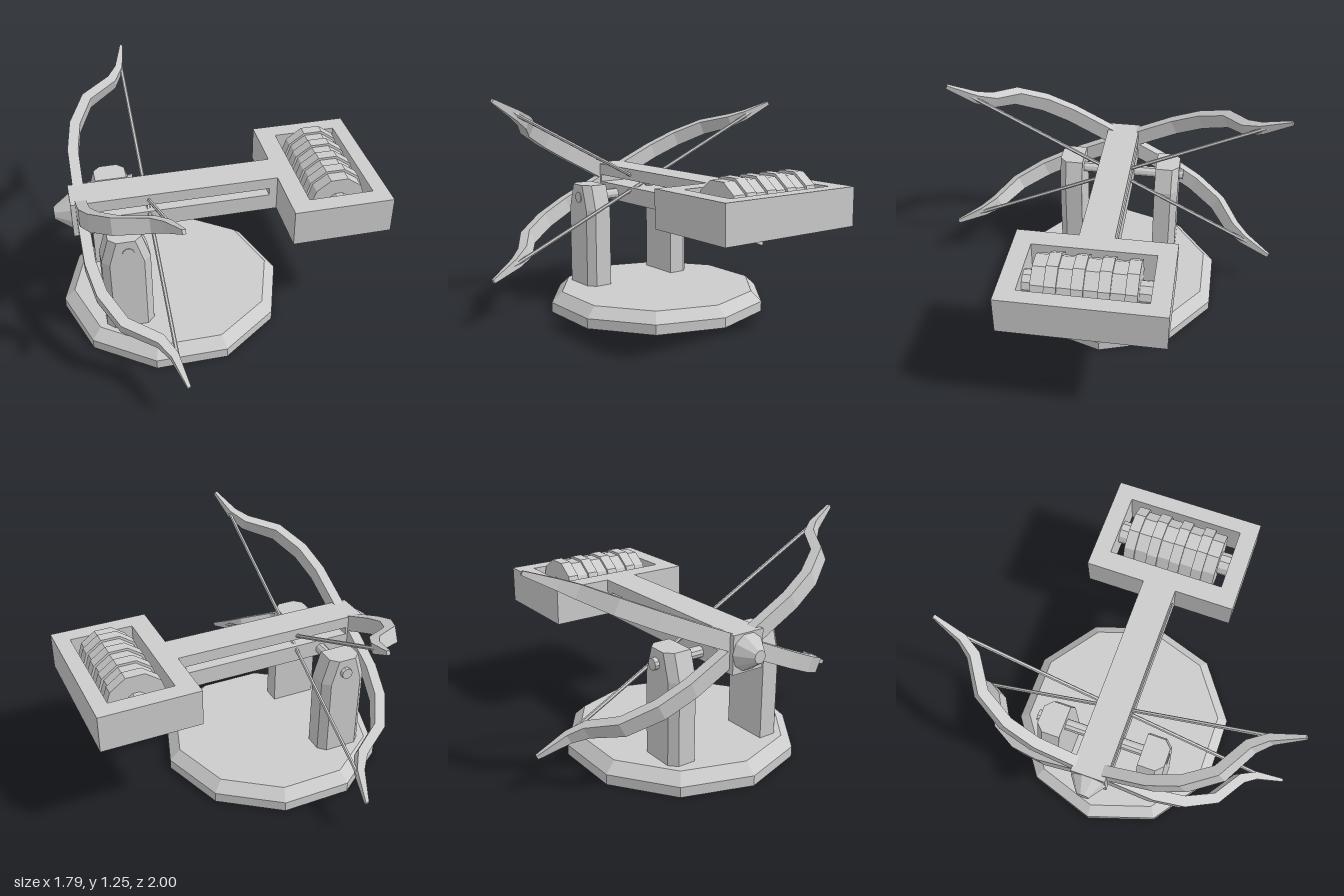
import * as THREE from 'three';

const material = new THREE.MeshStandardMaterial({ color: 0xcccccc, flatShading: true });

function add(parent, name, geometry, x = 0, y = 0, z = 0) {
  const mesh = new THREE.Mesh(geometry, material);
  mesh.name = name;
  mesh.position.set(x, y, z);
  parent.add(mesh);
  return mesh;
}

// Skin between rings of equal corner count, capped at both ends.
// Corners run counterclockwise when seen from the last ring.
function loft(rings) {
  const pos = [];
  const tri = (a, b, c) => pos.push(...a, ...b, ...c);
  const n = rings[0].length;
  for (let i = 0; i + 1 < rings.length; i++) {
    for (let j = 0; j < n; j++) {
      const k = (j + 1) % n;
      tri(rings[i][j], rings[i][k], rings[i + 1][k]);
      tri(rings[i][j], rings[i + 1][k], rings[i + 1][j]);
    }
  }
  const last = rings[rings.length - 1];
  for (let j = 1; j + 1 < n; j++) {
    tri(rings[0][0], rings[0][j + 1], rings[0][j]);
    tri(last[0], last[j], last[j + 1]);
  }
  const g = new THREE.BufferGeometry();
  g.setAttribute('position', new THREE.Float32BufferAttribute(pos, 3));
  g.computeVertexNormals();
  return g;
}

function rect(Type, x0, y0, x1, y1) {
  return new Type([[x0, y0], [x1, y0], [x1, y1], [x0, y1]].map(p => new THREE.Vector2(...p)));
}

// Rectangular block with a rectangular opening right through it
function holedBlock(outer, hole, depth) {
  const shape = rect(THREE.Shape, ...outer);
  shape.holes.push(rect(THREE.Path, ...hole));
  return new THREE.ExtrudeGeometry(shape, { depth, bevelEnabled: false });
}

// Cylinder lying along z between z0 and z1, with a flat on top when sides = 10
function rod(radius, z0, z1, sides) {
  return new THREE.CylinderGeometry(radius, radius, z1 - z0, sides)
    .rotateY(Math.PI / 2)
    .rotateX(Math.PI / 2)
    .translate(0, 0, (z0 + z1) / 2);
}

// Post with chamfered outer corners and a narrowing head; outer side is +z
function postGeometry() {
  const d = 0.14, c = 0.04;
  const ring = (y, w) => [[-w, y, 0], [-w, y, d - c], [-w + c, y, d], [w - c, y, d], [w, y, d - c], [w, y, 0]];
  return loft([ring(0.11, 0.133), ring(0.57, 0.133), ring(0.715, 0.09)]);
}

// Recurved bow along z: [x, distance from centre, half thickness, half width]
function bowGeometry() {
  const half = [
    [-0.75, 0, 0.03, 0.045], [-0.745, 0.355, 0.03, 0.045], [-0.71, 0.535, 0.03, 0.045],
    [-0.62, 0.71, 0.029, 0.043], [-0.455, 0.825, 0.027, 0.037], [-0.40, 0.915, 0.021, 0.028],
    [-0.357, 1.09, 0.009, 0.011],
  ];
  const path = [...half.slice(1).reverse().map(([x, r, t, w]) => [x, -r, t, w]), ...half];
  return loft(path.map(([x, z, t, w], i) => {
    const a = path[Math.max(i - 1, 0)], b = path[Math.min(i + 1, path.length - 1)];
    const len = Math.hypot(b[0] - a[0], b[1] - a[1]);
    const nx = (b[1] - a[1]) / len * t, nz = -(b[0] - a[0]) / len * t;
    return [[x - nx, -w, z - nz], [x + nx, -w, z + nz], [x + nx, w, z + nz], [x - nx, w, z - nz]];
  }));
}

export function createModel() {
  const model = new THREE.Group();
  model.name = 'doubleBowEngine';

  // Ten-sided base with a bevelled rim
  const base = new THREE.Group();
  base.name = 'base';
  base.position.set(-0.26, 0, -0.02);
  model.add(base);
  const ring = (r, y) => Array.from({ length: 10 }, (_, i) => {
    const a = i * Math.PI / 5;
    return [r * Math.cos(a), y, -r * Math.sin(a)];
  });
  add(base, 'basePlate', loft([ring(0.64, 0), ring(0.64, 0.057), ring(0.578, 0.115)]));

  // Two posts and the pivot pin through them
  add(model, 'frontPost', postGeometry(), -0.553, 0, 0.205);
  add(model, 'backPost', postGeometry(), -0.553, 0, -0.24).rotation.y = Math.PI;
  add(model, 'pivotPin', rod(0.032, -0.405, 0.35, 10), -0.543, 0.64, 0);

  // Slotted beam with a blunt nose
  add(model, 'beam', holedBlock([-0.805, 0.597, 0.34, 0.805], [-0.705, 0.695, 0.295, 0.738], 0.19), 0, 0, -0.105);
  const nose = new THREE.CylinderGeometry(0.035, 0.1, 0.09, 10).rotateZ(Math.PI / 2);
  add(model, 'nose', nose, -0.85, 0.702, -0.01);

  // Open frame at the end of the beam
  const frame = holedBlock([0.34, -0.42, 0.895, 0.44], [0.45, -0.32, 0.81, 0.34], 0.208).rotateX(-Math.PI / 2);
  add(model, 'weightFrame', frame, 0, 0.597, 0);

  // Ribbed counterweight drum on its axle
  const drum = new THREE.Group();
  drum.name = 'counterweight';
  drum.position.set(0.637, 0.713, 0);
  model.add(drum);
  add(drum, 'drumAxle', rod(0.066, -0.345, 0.325, 10));
  add(drum, 'drumCore', rod(0.158, -0.272, 0.26, 10));
  for (let i = 0; i < 4; i++) {
    const z = -0.275 + i * 0.134;
    add(drum, 'drumRib', rod(0.172, z, z + 0.062, 10));
  }

  // Two bows crossing inside the beam, each with its string
  [[-27.8, 0.726], [24.3, 0.715]].forEach(([angle, y], i) => {
    const group = new THREE.Group();
    group.name = i ? 'secondBow' : 'firstBow';
    group.position.y = y;
    group.rotation.x = THREE.MathUtils.degToRad(angle);
    model.add(group);
    add(group, 'bowLimbs', bowGeometry());
    add(group, 'bowString', rod(0.011, -0.96, 0.96, 6), -0.384, 0, 0);
  });

  return model;
}
